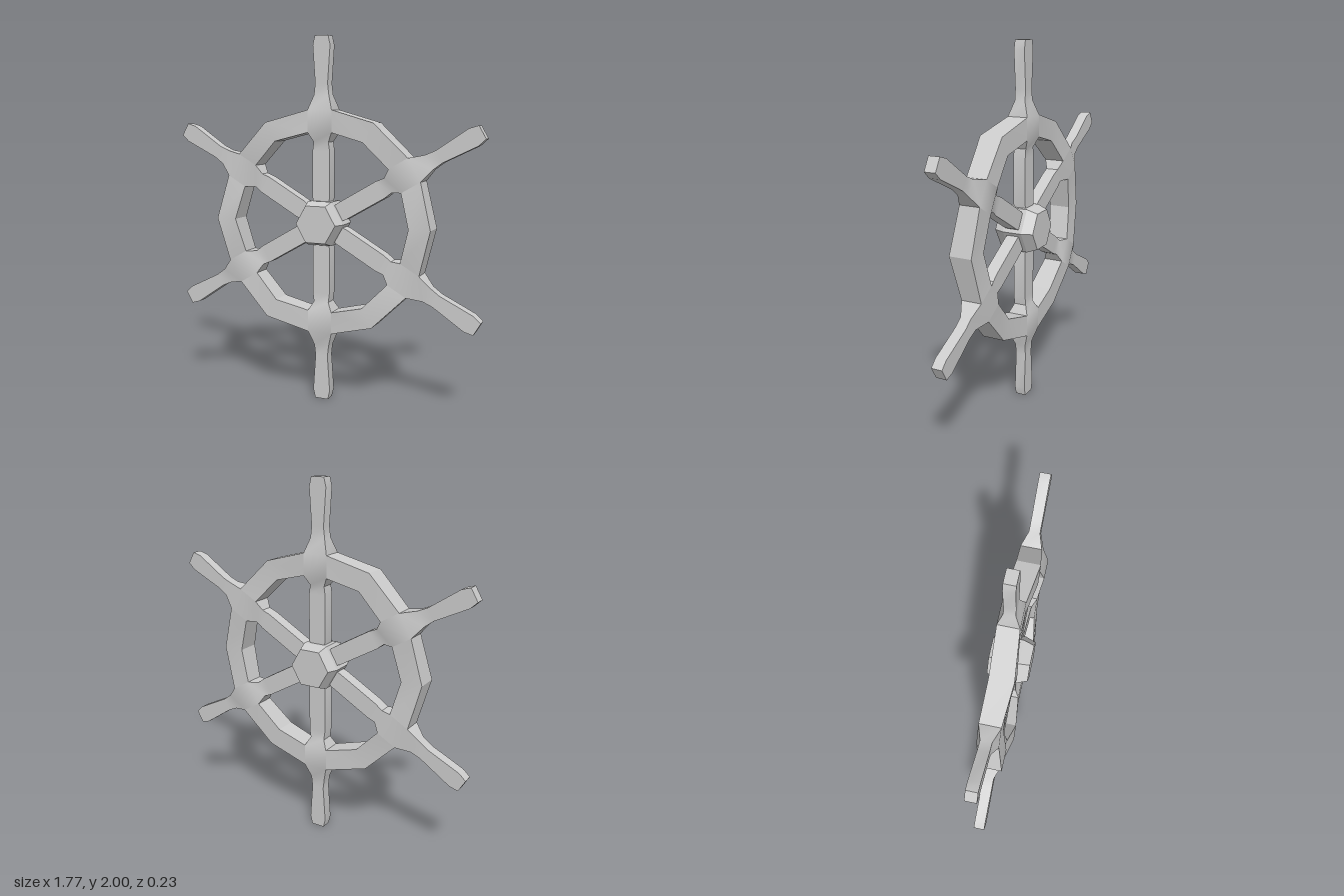
import * as THREE from 'three';
import { toCreasedNormals } from 'three/addons/utils/BufferGeometryUtils.js';

const SPOKES = 6;
const STEP = (Math.PI * 2) / SPOKES;

// Skin a row of four-cornered cross-sections (corners counter-clockwise about the path)
function loft(rings, caps) {
  const positions = [];
  const quad = (a, b, c, d) => [a, b, c, a, c, d].forEach(p => positions.push(...p));
  for (let i = 0; i + 1 < rings.length; i++) {
    for (let j = 0; j < 4; j++) {
      const k = (j + 1) % 4;
      quad(rings[i][j], rings[i][k], rings[i + 1][k], rings[i + 1][j]);
    }
  }
  if (caps) {
    quad(...[...rings[0]].reverse());
    quad(...rings[rings.length - 1]);
  }
  const geometry = new THREE.BufferGeometry();
  geometry.setAttribute('position', new THREE.Float32BufferAttribute(positions, 3));
  return toCreasedNormals(geometry, 0.42);
}

// Spoke and handle in one piece: [radius, half width, half depth]
function spokeGeometry() {
  const profile = [
    [0.08, 0.04, 0.035], [0.14, 0.05, 0.035], [0.39, 0.05, 0.035], [0.44, 0.043, 0.035],
    [0.49, 0.07, 0.057], [0.61, 0.07, 0.057],
    [0.69, 0.043, 0.03], [0.75, 0.036, 0.03], [0.95, 0.05, 0.03], [1, 0.038, 0.03],
  ];
  return loft(profile.map(([r, w, d]) => [[-w, r, d], [w, r, d], [w, r, -d], [-w, r, -d]]), true);
}

// Rim piece from one spoke to the next, bowed forward at its middle corner
function rimGeometry() {
  const section = (angle, x, outer, inner, back, front) => {
    const c = Math.cos(angle), s = Math.sin(angle);
    const at = (r, z) => [x * c + r * s, r * c - x * s, z];
    return [at(outer, back), at(outer, front), at(inner, front), at(inner, back)];
  };
  return loft([
    section(0, 0.07, 0.61, 0.49, -0.057, 0.057),
    section(STEP / 2, 0, 0.627, 0.51, -0.043, 0.082),
    section(STEP, -0.07, 0.61, 0.49, -0.057, 0.057),
  ], false);
}

// Six-sided hub with bevelled ends, axis along z
function hubGeometry() {
  const profile = [[0, -0.113], [0.115, -0.113], [0.138, -0.055], [0.138, 0.055], [0.115, 0.113], [0, 0.113]];
  const geometry = new THREE.LatheGeometry(profile.map(p => new THREE.Vector2(...p)), 6);
  return geometry.rotateY(Math.PI / 2).rotateX(Math.PI / 2);
}

export function createModel() {
  const group = new THREE.Group();
  group.name = 'shipWheel';
  const smooth = new THREE.MeshStandardMaterial({ color: 0xcccccc });
  const flat = new THREE.MeshStandardMaterial({ color: 0xcccccc, flatShading: true });

  const add = (name, geometry, material, angle = 0) => {
    const mesh = new THREE.Mesh(geometry, material);
    mesh.name = name;
    mesh.position.y = 1;
    mesh.rotation.z = -angle;
    group.add(mesh);
  };

  const spoke = spokeGeometry();
  const rim = rimGeometry();
  for (let i = 0; i < SPOKES; i++) {
    add(`spoke${i + 1}`, spoke, smooth, i * STEP);
    add(`rimSegment${i + 1}`, rim, smooth, i * STEP);
  }
  add('hub', hubGeometry(), flat);
  return group;
}
